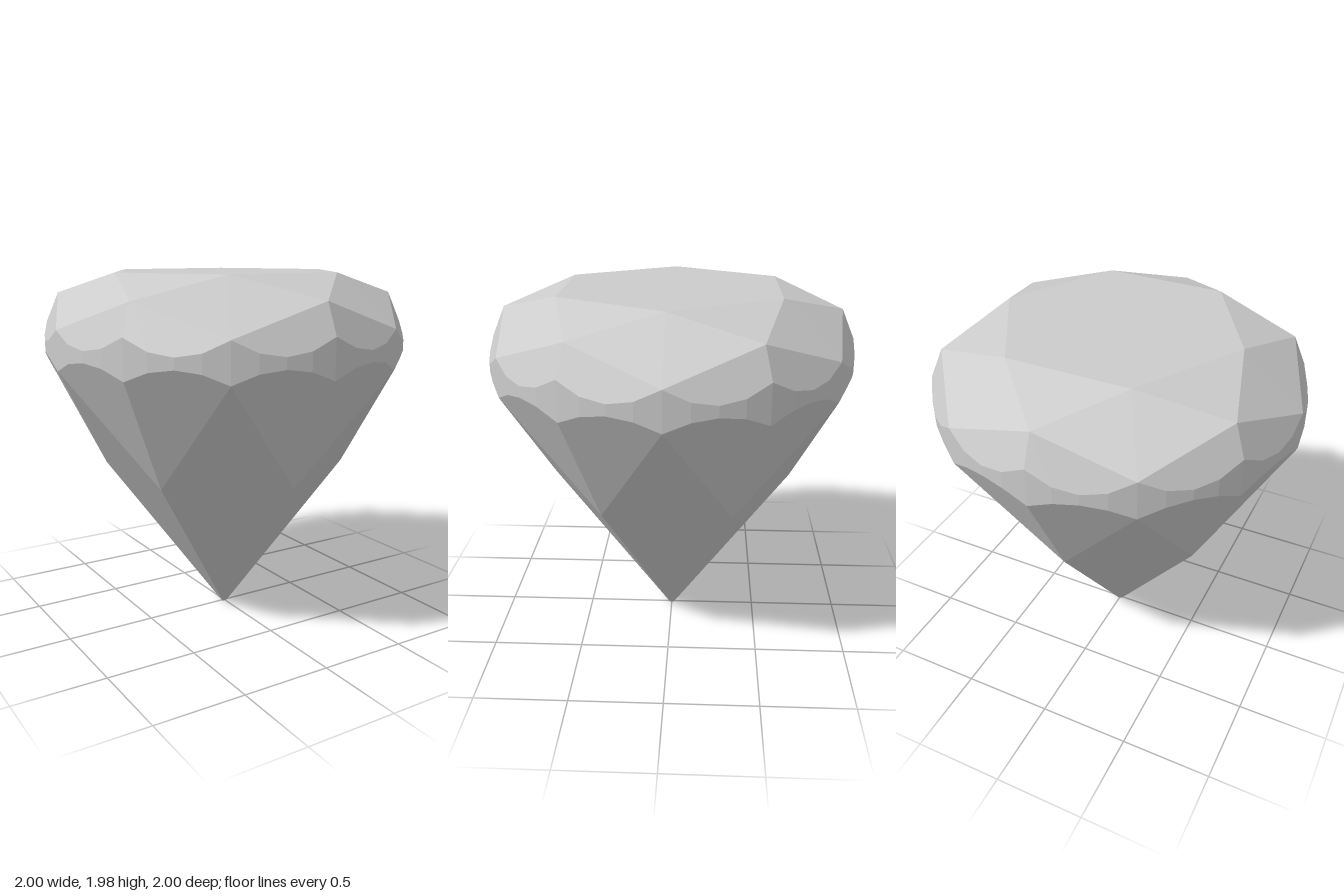
import * as THREE from 'three';

const STEPS = 4; // girdle segments along each 30 degree scallop
const CENTRE = new THREE.Vector3(0, 1.3, 0);

const point = (radius, degrees, y) => {
  const a = THREE.MathUtils.degToRad(degrees);
  return new THREE.Vector3(radius * Math.cos(a), y, radius * Math.sin(a));
};

// Convex planar facet as a triangle fan, wound to face away from the gem's centre
function addFacet(list, corners) {
  for (let i = 1; i < corners.length - 1; i++) {
    const t = [corners[0], corners[i], corners[i + 1]];
    const normal = t[1].clone().sub(t[0]).cross(t[2].clone().sub(t[0]));
    if (normal.dot(t[0].clone().sub(CENTRE)) < 0) t.reverse();
    for (const p of t) list.push(p.x, p.y, p.z);
  }
}

// Scalloped facet border: the plane through a tip and two girdle points cuts the round girdle
function scallop(tipRadius, tipY, girdleY, start) {
  const c = Math.cos(Math.PI / 12);
  const slope = (tipY - girdleY) / (c - tipRadius * c);
  return Array.from({ length: STEPS + 1 }, (_, i) => {
    const offset = (i / STEPS) * 30 - 15;
    const bulge = Math.cos(THREE.MathUtils.degToRad(offset)) - c;
    return point(1, start + 15 + offset, girdleY - slope * bulge);
  });
}

export function createModel() {
  const gem = new THREE.Group();
  gem.name = 'gem';
  const material = new THREE.MeshStandardMaterial({ color: 0xcccccc, flatShading: true });
  const parts = { table: [], starFacets: [], crownKites: [], upperGirdleFacets: [], girdle: [],
    lowerGirdleFacets: [], pavilionKites: [], culet: [] };

  // Rings of shared corners
  const tableCorner = a => point(0.67, a, 1.98);
  const starTip = a => point(0.93, a, 1.862);
  const pavilionTip = a => point(0.69, a, 0.88);
  const culetCorner = a => point(0.017, a, 0);
  const six = [0, 60, 120, 180, 240, 300];

  // Flat top and tiny flat bottom
  addFacet(parts.table, six.map(tableCorner));
  addFacet(parts.culet, six.map(a => culetCorner(a + 30)));

  for (const a of six) {
    // Large crown and pavilion facets
    addFacet(parts.starFacets, [tableCorner(a), starTip(a + 30), tableCorner(a + 60)]);
    addFacet(parts.crownKites, [tableCorner(a), starTip(a + 30), point(1, a, 1.7), starTip(a - 30)]);
    addFacet(parts.pavilionKites, [point(1, a, 1.49), pavilionTip(a + 30),
      culetCorner(a + 30), culetCorner(a - 30), pavilionTip(a - 30)]);

    // Paired scalloped facets above and below the girdle band
    for (const start of [a, a + 30]) {
      const upper = scallop(0.93, 1.862, 1.7, start);
      const lower = scallop(0.69, 0.88, 1.49, start);
      addFacet(parts.upperGirdleFacets, [starTip(a + 30), ...upper]);
      addFacet(parts.lowerGirdleFacets, [pavilionTip(a + 30), ...lower]);
      for (let i = 0; i < STEPS; i++) {
        addFacet(parts.girdle, [upper[i], upper[i + 1], lower[i + 1], lower[i]]);
      }
    }
  }

  for (const [name, positions] of Object.entries(parts)) {
    const geometry = new THREE.BufferGeometry();
    geometry.setAttribute('position', new THREE.Float32BufferAttribute(positions, 3));
    geometry.computeVertexNormals();
    const mesh = new THREE.Mesh(geometry, material);
    mesh.name = name;
    gem.add(mesh);
  }
  return gem;
}
